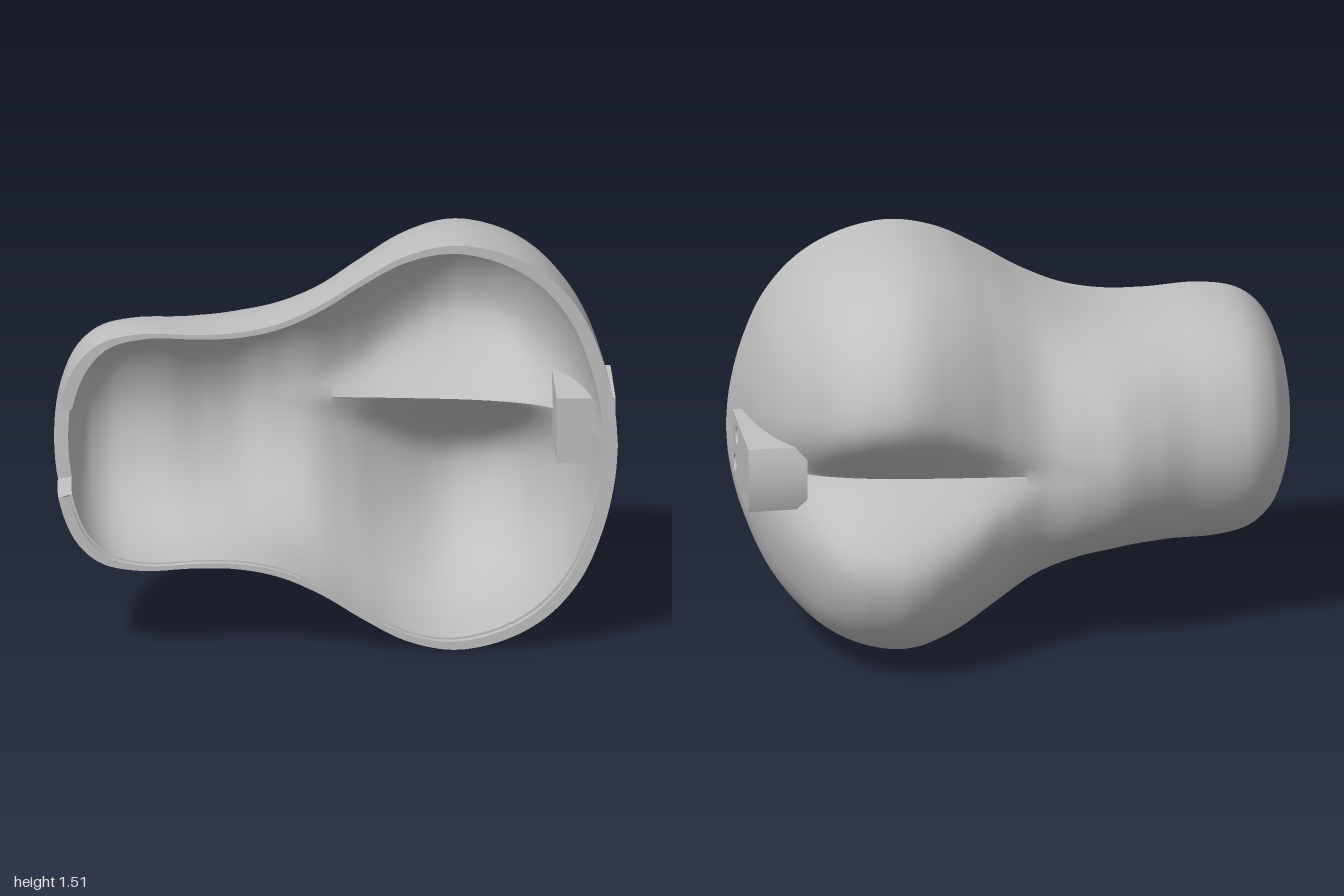
import * as THREE from 'three';
import { toCreasedNormals } from 'three/addons/utils/BufferGeometryUtils.js';

const CY = 0.755;   // height of the symmetry plane
const RIM = 0.41;   // z of the open front edge
const N = 120;      // columns per half outline
const ROWS = 40;    // rows from the central crease to the rim

// Upper half of the rim outline: x, distance from the symmetry plane
const outline = new THREE.CatmullRomCurve3([
  [-1, 0], [-0.99, 0.165], [-0.93, 0.325], [-0.84, 0.41], [-0.7, 0.442], [-0.5, 0.436],
  [-0.35, 0.442], [-0.2, 0.475], [-0.05, 0.545], [0.1, 0.64], [0.25, 0.72], [0.42, 0.755],
  [0.6, 0.72], [0.75, 0.635], [0.87, 0.495], [0.95, 0.305], [0.99, 0.125], [1, 0],
].map(([x, y]) => new THREE.Vector3(x, y, 0))).getSpacedPoints(N);

// Smooth interpolation through a few points without overshoot
function profile(pts) {
  const slope = pts.slice(1).map((p, i) => (p[1] - pts[i][1]) / (p[0] - pts[i][0]));
  const tan = pts.map((p, i) => {
    const a = slope[i - 1] ?? slope[i], b = slope[i] ?? slope[i - 1];
    return a * b > 0 ? 2 * a * b / (a + b) : 0;
  });
  return (x) => {
    x = Math.min(Math.max(x, pts[0][0]), pts[pts.length - 1][0]);
    let i = 0;
    while (i < pts.length - 2 && x > pts[i + 1][0]) i++;
    const h = pts[i + 1][0] - pts[i][0], t = (x - pts[i][0]) / h, s = 1 - t;
    return pts[i][1] * (1 + 2 * t) * s * s + pts[i + 1][1] * t * t * (3 - 2 * t)
      + h * (tan[i] * t * s * s - tan[i + 1] * t * t * s);
  };
}

// z of the highest line of the back, and of the crease between the lobes
const crest = profile([[-1, 0.41], [-0.995, 0.2], [-0.96, 0.03], [-0.9, -0.1], [-0.8, -0.165],
  [-0.6, -0.195], [-0.45, -0.25], [-0.3, -0.29], [-0.2, -0.275], [-0.05, -0.235], [0.08, -0.262],
  [0.2, -0.315], [0.3, -0.36], [0.4, -0.4], [0.48, -0.415], [0.6, -0.397], [0.7, -0.335],
  [0.8, -0.2], [0.88, -0.06], [0.94, 0.11], [0.97, 0.26], [1, 0.41]]);
const groove = profile([[-0.2, -0.275], [-0.05, -0.23], [0.1, -0.215], [0.3, -0.195], [0.5, -0.17],
  [0.7, -0.12], [0.85, -0.03], [0.95, 0.2], [1, 0.41]]);
const crease = (x) => (x < -0.2 ? crest(x) : groove(x));

function halfWidth(x) {
  let i = 0;
  while (i < N - 1 && outline[i + 1].x < x) i++;
  const a = outline[i], b = outline[i + 1];
  const t = THREE.MathUtils.clamp((x - a.x) / (b.x - a.x || 1), 0, 1);
  return Math.max(a.y + (b.y - a.y) * t, 1e-4);
}

function backZ(x, y) {
  const u = Math.min(y / halfWidth(x), 1);
  const uc = 0.02 + 0.39 * THREE.MathUtils.smoothstep(x, -0.3, 0.48);
  if (u < uc) {
    return crease(x) + (crest(x) - crease(x)) * Math.sin(u / uc * Math.PI / 2) ** 1.15;
  }
  return RIM - (RIM - crest(x)) * Math.cbrt(1 - ((u - uc) / (1 - uc)) ** 1.75);
}

// Point on column i at fraction v from crease to rim; scale < 1 gives the inside
function shellPoint(i, v, scale = 1) {
  const o = outline[Math.abs(i)], foot = o.x * 0.67 - 0.05;
  const x = foot + (o.x - foot) * v, y = o.y * v;
  const z = v >= 1 ? RIM : backZ(x, y);
  return [x * scale, CY + Math.sign(i) * y * scale, RIM - (RIM - z) * scale];
}

// Fraction at which a column reaches the top of the end notch
function notchStart(i) {
  let lo = 0.3, hi = 1;
  for (let k = 0; k < 30; k++) {
    const mid = (lo + hi) / 2;
    if (shellPoint(i, mid)[2] < 0.2) lo = mid; else hi = mid;
  }
  return lo;
}

const INNER = 0.95, LIP = 0.96, LIP_Z = 0.385;
function innerPoint(i, v) {
  const p = shellPoint(i, v, INNER);
  p[2] = Math.min(p[2], LIP_Z);
  return p;
}

// Cross-section of the wall: outside, stepped rim, inside
function strip(i, end) {
  const rows = [];
  for (let k = 0; k <= ROWS; k++) rows.push(end * (1 - (1 - k / ROWS) ** 2.5));
  const lip = shellPoint(i, end, LIP);
  return [
    ...rows.map((v) => shellPoint(i, v)),
    lip, [lip[0], lip[1], Math.min(lip[2], LIP_Z)],
    ...rows.reverse().map((v) => innerPoint(i, v)),
  ];
}

function loft(columns, out) {
  for (let c = 0; c < columns.length - 1; c++) {
    const a = columns[c], b = columns[c + 1];
    for (let k = 0; k < a.length - 1; k++) {
      out.push(...a[k], ...b[k], ...b[k + 1], ...a[k], ...b[k + 1], ...a[k + 1]);
    }
  }
}

function shellGeometry() {
  const pos = [];
  const edge = outline.findIndex((p) => p.y > 0.155);
  const range = (a, b, f) => Array.from({ length: b - a + 1 }, (_, k) => f(a + k));
  // Full wall, then the shortened wall over the notch
  loft(range(edge, N, (i) => strip(i, 1)), pos);
  loft(range(-N, -edge, (i) => strip(i, 1)), pos);
  loft(range(-edge, edge, (i) => strip(i, notchStart(i))), pos);
  // Side faces of the notch
  for (const i of [edge, -edge]) {
    const v0 = notchStart(i);
    const vs = range(0, 12, (k) => 1 - (1 - v0) * (1 - k / 12) ** 2.5);
    loft([vs.map((v) => shellPoint(i, v)), vs.map((v) => innerPoint(i, v))], pos);
  }
  const geo = new THREE.BufferGeometry();
  geo.setAttribute('position', new THREE.Float32BufferAttribute(pos, 3));
  return toCreasedNormals(geo, 0.6);
}

// Bracket slab along x with a bowed back end, optionally drilled
function bracketSlab(x0, x1, drilled) {
  const s = new THREE.Shape();
  s.moveTo(-0.25, 0.64);
  s.lineTo(0.125, 0.64);
  s.quadraticCurveTo(0.165, 0.76, 0.125, 0.88);
  s.lineTo(-0.25, 0.88);
  s.closePath();
  if (drilled) {
    for (const [z, y] of [[0.15, 0.82], [0.19, 0.7]]) {
      s.holes.push(new THREE.Path().absarc(-z, y, 0.032, 0, Math.PI * 2, true));
    }
  }
  const geo = new THREE.ExtrudeGeometry(s, { depth: x1 - x0, bevelEnabled: false, curveSegments: 16 });
  return geo.rotateY(Math.PI / 2).translate(x0, 0, 0);
}

export function createModel() {
  const group = new THREE.Group();
  const grey = new THREE.MeshStandardMaterial({ color: 0xc0c0c0, side: THREE.DoubleSide });
  grey.name = 'grey';
  const add = (name, geo) => {
    const mesh = new THREE.Mesh(geo, grey);
    mesh.name = name;
    group.add(mesh);
  };
  add('shell', shellGeometry());
  add('bracketBase', bracketSlab(0.79, 0.9, false));
  add('bracketDrilledEnd', bracketSlab(0.9, 1, true));
  return group;
}
